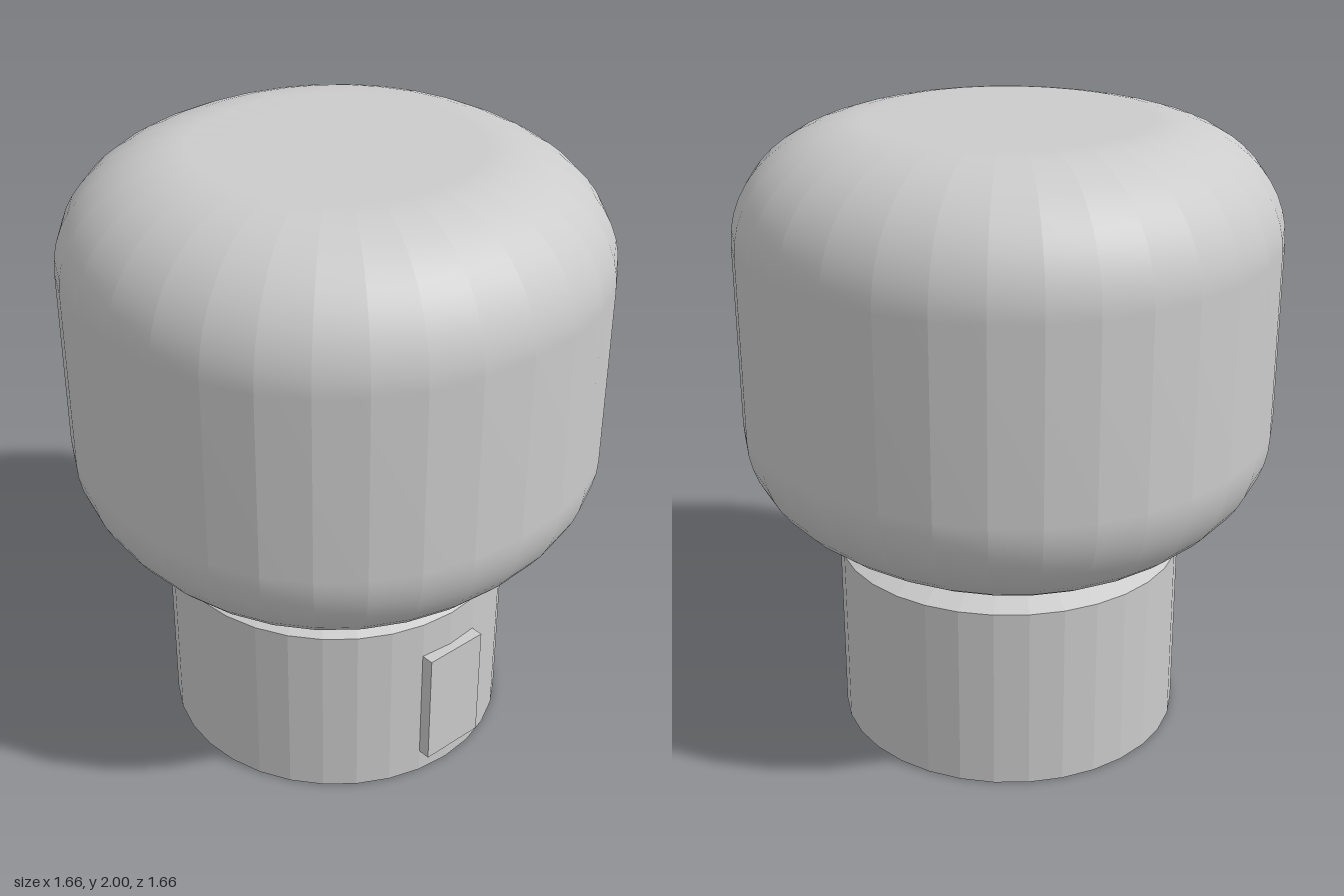
import * as THREE from 'three';

const SIDES = 32;
const grey = new THREE.MeshStandardMaterial({ color: 0xcccccc });
const greyFlat = new THREE.MeshStandardMaterial({ color: 0xcccccc, flatShading: true });

// Slightly squared circle of unit radius: four Bezier quarters, 8 steps each
function roundOutline() {
  const k = 0.6;
  const shape = new THREE.Shape();
  shape.moveTo(0, 1);
  shape.bezierCurveTo(k, 1, 1, k, 1, 0);
  shape.bezierCurveTo(1, -k, k, -1, 0, -1);
  shape.bezierCurveTo(-k, -1, -1, -k, -1, 0);
  shape.bezierCurveTo(-1, k, -k, 1, 0, 1);
  return shape.getPoints(SIDES / 4);
}

// Sweep a profile (radius, height; bottom to top) round the outline.
// Each column has its own vertices: smooth along it, creased between columns.
function columnGeometry(outline, profile) {
  const position = [], index = [];
  for (let i = 0; i < SIDES; i++) {
    const base = position.length / 3;
    for (const p of profile) {
      for (const o of [outline[i], outline[i + 1]]) position.push(o.x * p.x, p.y, o.y * p.x);
    }
    for (let j = 0; j < profile.length - 1; j++) {
      const a = base + j * 2, b = a + 1, c = a + 2, d = a + 3;
      // the outline runs from +z towards +x, so a -> b is anticlockwise from above
      if (profile[j].x > 0) index.push(a, b, c);
      if (profile[j + 1].x > 0) index.push(b, d, c);
    }
  }
  const geometry = new THREE.BufferGeometry();
  geometry.setAttribute('position', new THREE.Float32BufferAttribute(position, 3));
  geometry.setIndex(index);
  geometry.computeVertexNormals();
  return geometry;
}

function addMesh(group, name, geometry, material, x, y, z) {
  const mesh = new THREE.Mesh(geometry, material);
  mesh.name = name;
  mesh.position.set(x, y, z);
  group.add(mesh);
}

export function createModel() {
  const group = new THREE.Group();
  group.name = 'roundHeadOnBase';

  // Head: straight wall with broad rounded shoulders above and below
  const radius = 0.83, bottom = 0.67, top = 2, rx = 0.4, ry = 0.37, steps = 12;
  const profile = [new THREE.Vector2(0, bottom)];
  for (let i = 0; i <= steps; i++) {
    const a = (i / steps) * Math.PI / 2;
    profile.push(new THREE.Vector2(radius - rx + rx * Math.sin(a), bottom + ry - ry * Math.cos(a)));
  }
  for (let i = steps; i >= 0; i--) {
    const a = (i / steps) * Math.PI / 2;
    profile.push(new THREE.Vector2(radius - rx + rx * Math.sin(a), top - ry + ry * Math.cos(a)));
  }
  profile.push(new THREE.Vector2(0, top));
  addMesh(group, 'head', columnGeometry(roundOutline(), profile), grey, 0, 0, 0);

  // Base drum and its sloping collar
  addMesh(group, 'base', new THREE.CylinderGeometry(0.56, 0.56, 0.605, SIDES), greyFlat, 0, 0.3025, 0);
  addMesh(group, 'collar', new THREE.CylinderGeometry(0.42, 0.56, 0.067, SIDES, 1, true), greyFlat, 0, 0.6385, 0);

  // Thin panel on the front of the base
  addMesh(group, 'frontPanel', new THREE.BoxGeometry(0.22, 0.4, 0.06), greyFlat, 0, 0.28, 0.56);

  return group;
}
